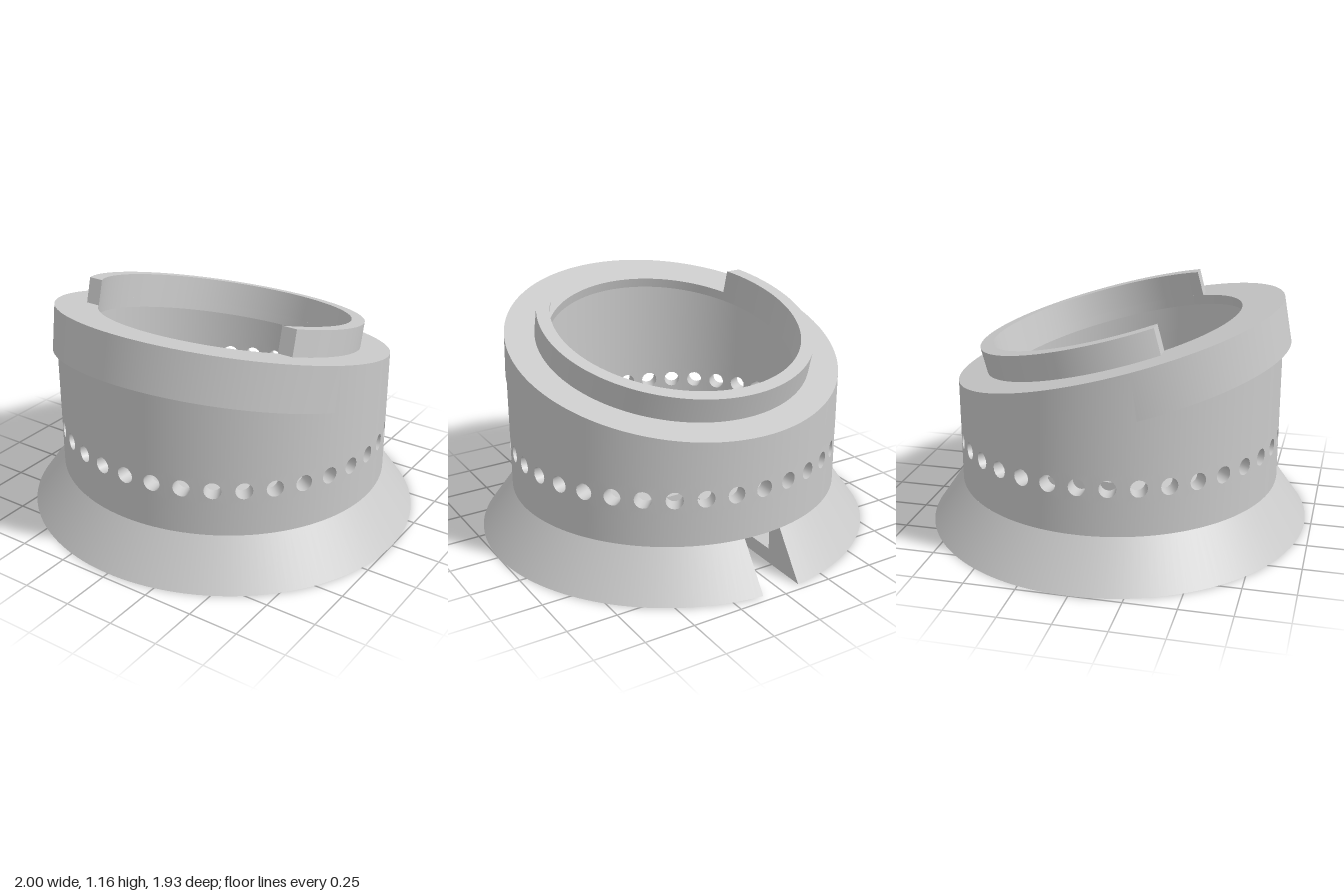
import * as THREE from 'three';
import { mergeGeometries, mergeVertices } from 'three/addons/utils/BufferGeometryUtils.js';

const TILT = Math.PI / 12, SQUASH = Math.cos(TILT);
const R_OUT = 0.838, R_CAVITY = 0.755, R_BORE = 0.625, R_BASE = 1;
const SKIRT_H = 0.225, FLOOR_H = 0.075, TOP_Y = 0.943, RIM_T = 0.05, SLOT = 0.1;
const HOLES = 36, HOLE_R = 0.042, HOLE_Y = 0.46, BAND = 0.07, SEG = 144;

// Angle 0 faces the front; k = squash of the depth
const polar = (r, a, y, k = SQUASH) => new THREE.Vector3(r * Math.sin(a), y, r * Math.cos(a) * k);

// Smooth surface through lists of rows; creases stay between separate lofts
function loft(...strips) {
  const pos = [];
  for (const rows of strips)
    for (let i = 0; i + 1 < rows.length; i++)
      for (let j = 0; j + 1 < rows[i].length; j++) {
        const a = rows[i][j], b = rows[i][j + 1], c = rows[i + 1][j + 1], d = rows[i + 1][j];
        for (const p of [a, b, c, a, c, d]) pos.push(p.x, p.y, p.z);
      }
  const g = new THREE.BufferGeometry();
  g.setAttribute('position', new THREE.Float32BufferAttribute(pos, 3));
  const merged = mergeVertices(g, 1e-5);
  merged.computeVertexNormals();
  return merged;
}

// Row of points at radius r between two angles
const arc = (r, y, start, end, k) => Array.from({ length: SEG + 1 }, (_, i) =>
  polar(r, THREE.MathUtils.lerp(start, end, i / SEG), y, k));

// Full ring of points; y may be a number or a function of the point
const ring = (r, y, k) => arc(r, 0, 0, Math.PI * 2, k).map((p) => {
  p.y = typeof y === 'function' ? y(p) : y;
  return p;
});
const slantedTop = (p) => TOP_Y + p.z * Math.tan(TILT);
const slantedCeiling = (p) => slantedTop(p) - RIM_T / Math.cos(TILT);

// Sweep a four-cornered section [r, y] round the axis between angles that depend on r
function sweep(section, start, end, k) {
  const rows = section.map(([r, y]) => arc(r, y, start(r), end(r), k));
  const [s0, s1, s2, s3] = rows.map((r) => r[0]);
  const [e0, e1, e2, e3] = rows.map((r) => r[SEG]);
  return mergeGeometries([
    ...rows.map((r, i) => loft([r, rows[(i + 1) % 4]])),
    loft([[s0, s1], [s3, s2]]),
    loft([[e1, e0], [e2, e3]]),
  ]);
}

// Circle of one drilled hole where it meets radius r
const holeRing = (r, a) => Array.from({ length: 17 }, (_, k) => {
  const t = Math.PI * 1.25 + (k % 16) * Math.PI / 8;
  return polar(r, a + Math.asin(HOLE_R * Math.cos(t) / r), HOLE_Y + HOLE_R * Math.sin(t));
});

// Square outline of the wall panel round one hole
const panelRing = (r, a) => Array.from({ length: 17 }, (_, k) => {
  const f = (k % 4) / 2 - 1;
  const [u, v] = [[f, -1], [1, f], [-f, 1], [-1, -f]][Math.floor(k / 4) % 4];
  return polar(r, a + u * Math.PI / HOLES, HOLE_Y + v * BAND);
});

const holeAngles = Array.from({ length: HOLES }, (_, i) => i / HOLES * Math.PI * 2);

// Perforated wall surface, facing out or in
function wallSurface(r, top, outward) {
  const strips = [
    [ring(r, SKIRT_H), ring(r, HOLE_Y - BAND)],
    [ring(r, HOLE_Y + BAND), ring(r, top)],
    ...holeAngles.map((a) => [panelRing(r, a), holeRing(r, a)]),
  ];
  return loft(...strips.map((s) => (outward ? s : s.reverse())));
}

export function createModel() {
  const model = new THREE.Group();
  model.name = 'slantedCollar';
  const grey = new THREE.MeshStandardMaterial({ color: 0xcacaca });
  grey.name = 'grey';
  const add = (name, geometry, parent = model) => {
    const mesh = new THREE.Mesh(geometry, grey);
    mesh.name = name;
    parent.add(mesh);
  };

  // Flared skirt, split at the back by the slot
  const slotEnd = (r) => Math.PI - Math.asin(SLOT / r);
  add('skirt', sweep([[R_CAVITY, 0], [R_BASE, 0], [R_OUT, SKIRT_H], [R_CAVITY, SKIRT_H]],
    (r) => -slotEnd(r), slotEnd, SQUASH));

  // Floor with the slot running to its centre
  const notch = Math.acos(SLOT / R_CAVITY);
  const shape = new THREE.Shape();
  shape.moveTo(SLOT, 0);
  shape.lineTo(SLOT, R_CAVITY * Math.sin(notch));
  shape.absarc(0, 0, R_CAVITY, notch, Math.PI - notch, true);
  shape.lineTo(-SLOT, 0);
  const floor = new THREE.ExtrudeGeometry(shape, { depth: FLOOR_H, bevelEnabled: false, curveSegments: SEG });
  add('floor', floor.rotateX(-Math.PI / 2).scale(1, 1, SQUASH));

  // Thin cylinder wall with its ring of drilled holes
  add('outerWall', wallSurface(R_OUT, slantedTop, true));
  add('innerWall', wallSurface(R_CAVITY, slantedCeiling, false));
  add('wallUnderside', loft([ring(R_CAVITY, SKIRT_H), ring(R_OUT, SKIRT_H)]));
  add('drilledHoles', loft(...holeAngles.map((a) => [holeRing(R_OUT, a), holeRing(R_CAVITY, a)])));

  // Parts square to the slanted rim
  const tilted = new THREE.Group();
  tilted.name = 'slantedParts';
  tilted.position.y = TOP_Y;
  tilted.rotation.x = -TILT;
  model.add(tilted);

  // Rim plate: top face, bore and ceiling over the cavity
  add('rimTop', loft([ring(R_OUT, 0, 1), ring(R_BORE, 0, 1)]), tilted);
  add('rimBore', loft([ring(R_BORE, 0, 1), ring(R_BORE, -RIM_T, 1)]), tilted);
  add('rimCeiling', loft([ring(R_BORE, -RIM_T, 1), ring(0.79, -RIM_T, 1)]), tilted);

  // Overhanging lip, standing proud at the front only
  const lipRow = (r, y) => arc(r, y, -1.4, 1.4, 1);
  add('frontLip', loft([lipRow(0.82, -0.225), lipRow(R_OUT, 0)]), tilted);
  add('frontLipUnderside', loft([lipRow(0.76, -0.2), lipRow(0.82, -0.225)]), tilted);

  // Raised collar, open at the front with straight-cut ends
  const cut = (r) => Math.acos(0.342 / r);
  add('raisedCollar', sweep([[R_BORE, 0], [0.69, 0], [0.69, 0.128], [R_BORE, 0.128]],
    cut, (r) => Math.PI * 2 - cut(r), 1), tilted);

  return model;
}
